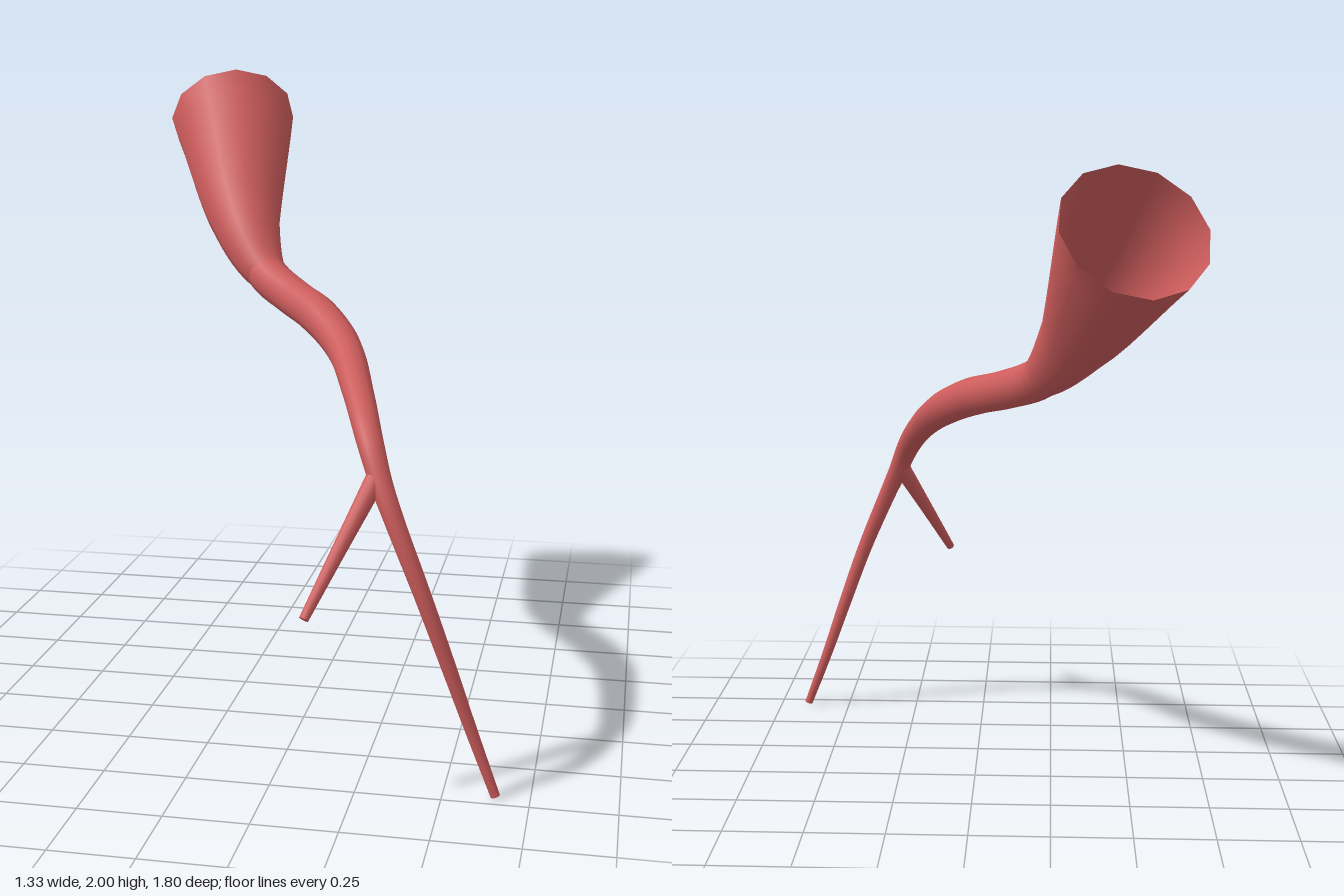
import * as THREE from 'three';

const SIDES = 12;
const STEPS = 6; // rings per control point

// Rings along a smooth path; each control point is [x, y, z, radius]
function makeRings(points) {
  const curve = new THREE.CatmullRomCurve3(points.map(p => new THREE.Vector3(p[0], p[1], p[2])));
  const n = (points.length - 1) * STEPS;
  const u = new THREE.Vector3(0, 1, 0);
  const rings = [];
  for (let i = 0; i <= n; i++) {
    const c = curve.getPoint(i / n);
    const t = curve.getTangent(i / n);
    u.addScaledVector(t, -u.dot(t)).normalize(); // carry the frame along without twist
    const v = new THREE.Vector3().crossVectors(t, u);
    const k = Math.min(Math.floor(i / STEPS), points.length - 2);
    const r = THREE.MathUtils.lerp(points[k][3], points[k + 1][3], i / STEPS - k);
    const ring = [];
    for (let j = 0; j < SIDES; j++) {
      const a = (j / SIDES) * Math.PI * 2;
      ring.push(c.clone().addScaledVector(u, r * Math.cos(a)).addScaledVector(v, r * Math.sin(a)));
    }
    rings.push(ring);
  }
  return rings;
}

// Smooth wall through the rings
function wall(rings) {
  const index = [];
  for (let i = 0; i < rings.length - 1; i++) {
    for (let j = 0; j < SIDES; j++) {
      const k = (j + 1) % SIDES;
      const a = i * SIDES + j, b = i * SIDES + k;
      index.push(a, b, a + SIDES, b, b + SIDES, a + SIDES);
    }
  }
  const g = new THREE.BufferGeometry().setFromPoints(rings.flat());
  g.setIndex(index);
  g.computeVertexNormals();
  return g;
}

// Flat fan closing one ring
function cap(ring, facesBack) {
  const centre = new THREE.Vector3();
  ring.forEach(p => centre.addScaledVector(p, 1 / SIDES));
  const index = [];
  for (let j = 0; j < SIDES; j++) {
    const k = (j + 1) % SIDES;
    index.push(SIDES, facesBack ? k : j, facesBack ? j : k);
  }
  const g = new THREE.BufferGeometry().setFromPoints([...ring, centre]);
  g.setIndex(index);
  g.computeVertexNormals();
  return g;
}

export function createModel() {
  const model = new THREE.Group();
  model.name = 'branchingVessel';
  const red = new THREE.MeshStandardMaterial({ color: 0xcd5c5c, side: THREE.DoubleSide });
  red.name = 'vesselRed';
  const add = (name, geometry) => {
    const mesh = new THREE.Mesh(geometry, red);
    mesh.name = name;
    model.add(mesh);
  };

  // Main path, from the wide mouth down to the thin tip
  const main = makeRings([
    [-0.46, 1.825, -0.757, 0.2165],
    [-0.312, 1.49, -0.34, 0.112],
    [-0.21, 1.355, -0.19, 0.065],
    [-0.1, 1.3, -0.075, 0.062],
    [0.005, 1.262, 0.04, 0.062],
    [0.115, 1.195, 0.2, 0.056],
    [0.2, 1.1, 0.42, 0.046],
    [0.262, 1.0, 0.585, 0.039],
    [0.305, 0.9, 0.652, 0.033],
    [0.35, 0.8, 0.69, 0.029],
    [0.435, 0.6, 0.719, 0.025],
    [0.508, 0.4, 0.715, 0.022],
    [0.578, 0.2, 0.705, 0.018],
    [0.651, 0.006, 0.707, 0.014],
  ]);
  const neck = 2 * STEPS;

  // Open funnel and the vessel that leaves its neck
  add('funnel', wall(main.slice(0, neck + 1)));
  add('mainVessel', wall(main.slice(neck)));
  add('neckCap', cap(main[neck], true));
  add('mainTip', cap(main[main.length - 1], false));

  // Short straight side branch
  const side = makeRings([
    [0.295, 0.92, 0.638, 0.031],
    [0.212, 0.742, 0.765, 0.022],
    [0.131, 0.566, 0.888, 0.014],
  ]);
  add('sideBranch', wall(side));
  add('sideBranchRoot', cap(side[0], true));
  add('sideBranchTip', cap(side[side.length - 1], false));

  return model;
}
